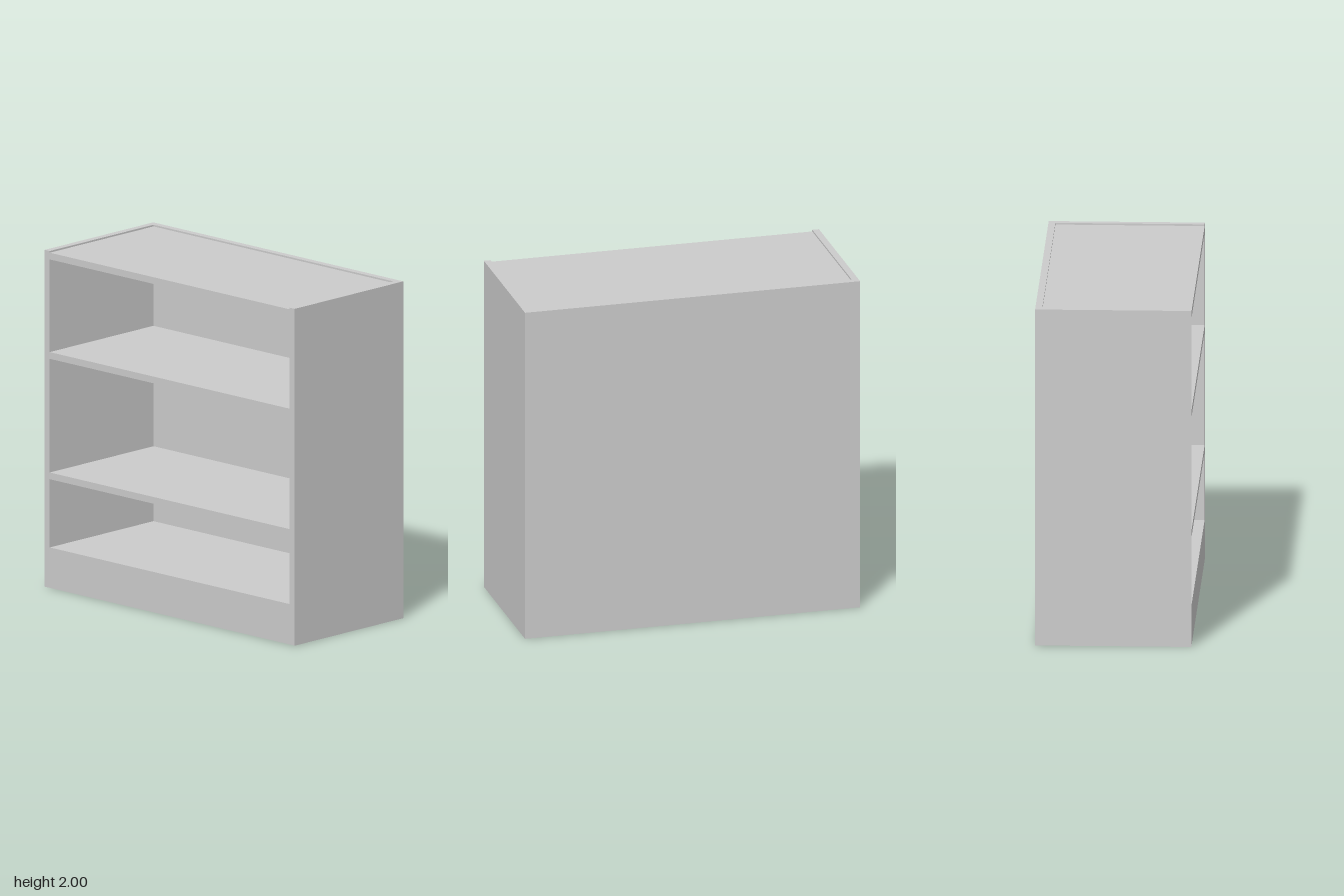
import * as THREE from 'three';

const WIDTH = 2, HEIGHT = 2, DEPTH = 0.9, BOARD = 0.04;

export function createModel() {
  const group = new THREE.Group();
  const material = new THREE.MeshStandardMaterial({ color: 0xcccccc, flatShading: true });

  const addBoard = (name, w, h, d, x, y, z) => {
    const mesh = new THREE.Mesh(new THREE.BoxGeometry(w, h, d), material);
    mesh.name = name;
    mesh.position.set(x, y, z);
    group.add(mesh);
  };

  const innerWidth = WIDTH - 2 * BOARD;
  const innerDepth = DEPTH - BOARD;

  // Side panels
  for (const [name, side] of [['leftPanel', 1], ['rightPanel', -1]]) {
    addBoard(name, BOARD, HEIGHT, DEPTH, side * (WIDTH - BOARD) / 2, HEIGHT / 2, 0);
  }

  // Back panel, full height between the sides
  addBoard('backPanel', innerWidth, HEIGHT, BOARD, 0, HEIGHT / 2, -(DEPTH - BOARD) / 2);

  // Shelves and the slightly sunken top, placed by their undersides
  const shelves = [
    ['bottomShelf', 0.2],
    ['lowerShelf', 0.645],
    ['upperShelf', 1.36],
    ['topBoard', 1.95],
  ];
  for (const [name, y] of shelves) {
    addBoard(name, innerWidth, BOARD, innerDepth, 0, y + BOARD / 2, BOARD / 2);
  }

  // Plinth board under the bottom shelf, open behind
  addBoard('plinth', innerWidth, 0.2, BOARD, 0, 0.1, (DEPTH - BOARD) / 2);

  return group;
}
